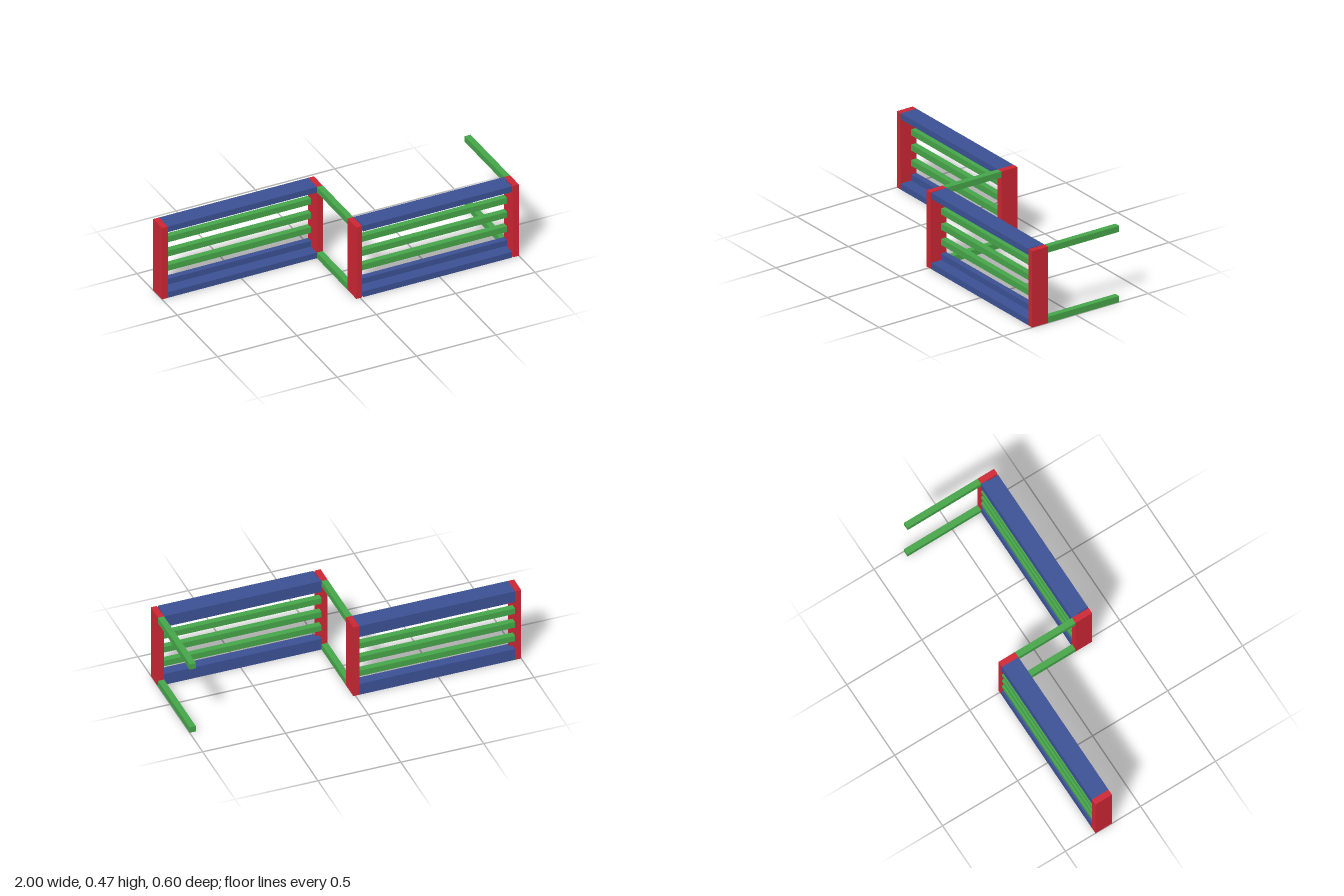
import * as THREE from 'three';

const paint = (color) => new THREE.MeshStandardMaterial({ color, flatShading: true });

export function createModel() {
  const red = paint(0xcc2633), green = paint(0x46a549), blue = paint(0x3b5195);
  const model = new THREE.Group();
  model.name = 'foldingFence';
  const T = 0.037, H = 0.47, D = 0.11, Z = 0.3; // bar thickness, height, post depth, half depth

  // Box given by its extents on each axis
  const bar = (parent, name, material, [x0, x1], [y0, y1], [z0, z1]) => {
    const mesh = new THREE.Mesh(new THREE.BoxGeometry(x1 - x0, y1 - y0, z1 - z0), material);
    mesh.position.set((x0 + x1) / 2, (y0 + y1) / 2, (z0 + z1) / 2);
    mesh.name = name;
    parent.add(mesh);
  };

  // Panel: two posts, L-section rails above and below, three slats at the back
  const panel = (name, x0, x1, back, gap) => {
    const group = new THREE.Group();
    group.name = name;
    const front = back + D, inner = [x0 + T, x1 - T];
    bar(group, 'rightPost', red, [x0, x0 + T], [0, H], [back, front]);
    bar(group, 'leftPost', red, [x1 - T, x1], [0, H], [back, front]);
    const flange = [inner[0] + gap, inner[1] - gap];
    bar(group, 'bottomRailFlange', blue, flange, [0, T], [back + T, front]);
    bar(group, 'bottomRailWeb', blue, inner, [0, 2 * T], [back, back + T]);
    bar(group, 'topRailFlange', blue, flange, [H - T, H], [back + T, front]);
    bar(group, 'topRailWeb', blue, inner, [H - 2 * T, H], [back, back + T]);
    for (let i = -1; i <= 1; i++) {
      const y = H / 2 + 0.005 + i * 0.094;
      bar(group, 'slat', green, inner, [y - T / 2, y + T / 2], [back, back + T]);
    }
    model.add(group);
  };
  panel('backPanel', -1, 0.013, -Z, 0);
  panel('frontPanel', -0.024, 1, Z - D, 0.006);

  // Crossbars: one pair joins the panels, the other pair runs free to the back
  for (const y of [0, H - T]) {
    bar(model, 'middleCrossbar', green, [-0.024, 0.013], [y, y + T], [-Z + D, Z - D]);
    bar(model, 'endCrossbar', green, [1 - T, 1], [y, y + T], [-Z, Z - D]);
  }
  return model;
}
